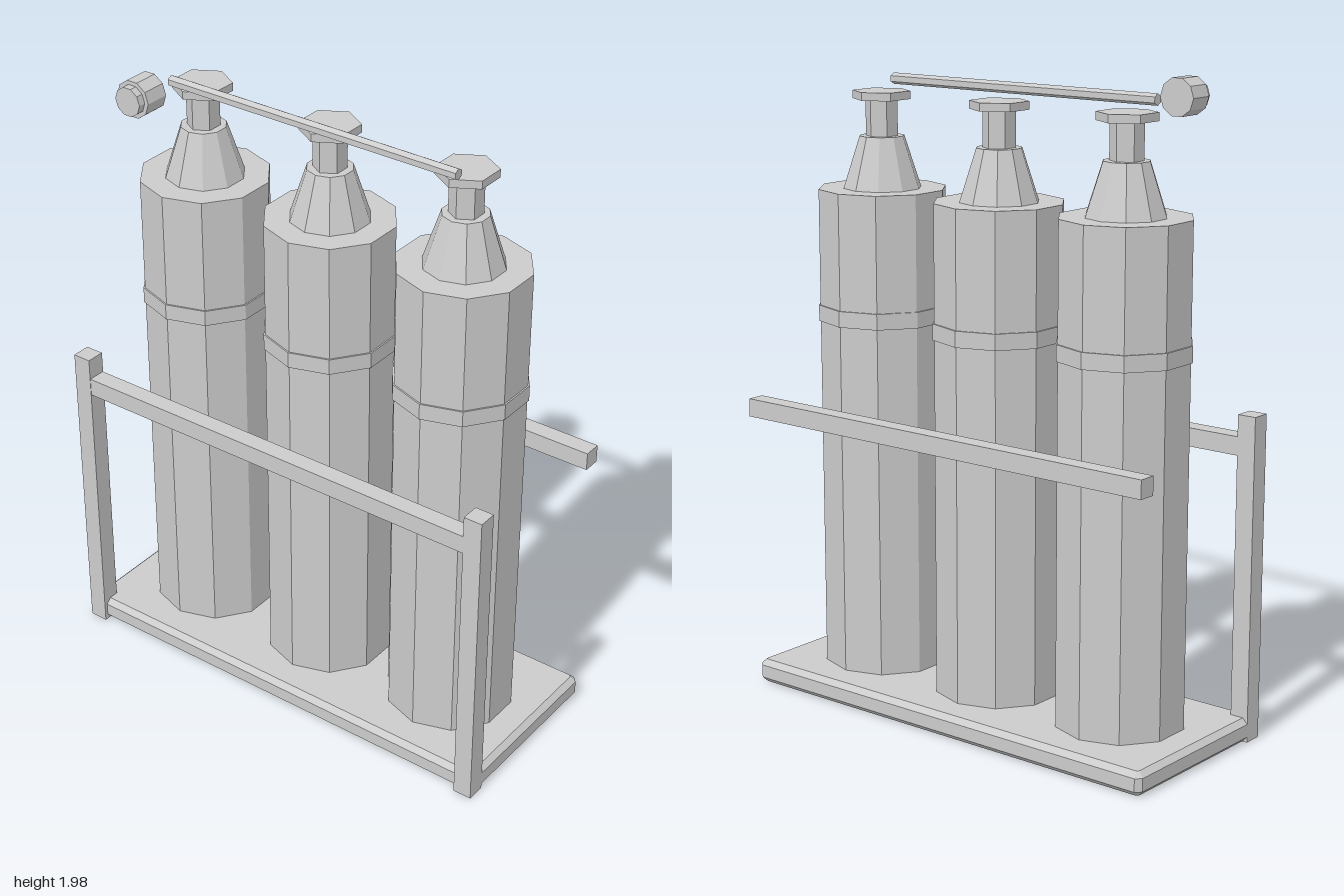
import * as THREE from 'three';

const material = new THREE.MeshStandardMaterial({ color: 0xcccccc, flatShading: true });

function add(parent, name, geometry, x = 0, y = 0, z = 0) {
  const mesh = new THREE.Mesh(geometry, material);
  mesh.name = name;
  mesh.position.set(x, y, z);
  parent.add(mesh);
  return mesh;
}

// faceted cylinder standing between two heights
function column(parent, name, rTop, rBottom, y0, y1, sides) {
  return add(parent, name, new THREE.CylinderGeometry(rTop, rBottom, y1 - y0, sides), 0, (y0 + y1) / 2, 0);
}

// flat slab with every edge chamfered
function chamferedSlab(w, h, d, c) {
  const x = w / 2, z = d / 2;
  const shape = new THREE.Shape([
    [x, z - c], [x - c, z], [c - x, z], [-x, z - c],
    [-x, c - z], [c - x, -z], [x - c, -z], [x, c - z],
  ].map(([a, b]) => new THREE.Vector2(a, b)));
  return new THREE.ExtrudeGeometry(shape, {
    depth: h - 2 * c, bevelThickness: c, bevelSize: c, bevelOffset: -c, bevelSegments: 1,
  }).translate(0, 0, c - h / 2).rotateX(-Math.PI / 2);
}

function createCylinder() {
  const bottle = new THREE.Group();
  bottle.name = 'gasCylinder';
  column(bottle, 'body', 0.2, 0.2, 0.1, 1.62, 10);
  column(bottle, 'band', 0.205, 0.205, 1.21, 1.26, 10);
  column(bottle, 'shoulder', 0.07, 0.122, 1.62, 1.78, 10);
  column(bottle, 'valveStem', 0.05, 0.05, 1.78, 1.893, 6);
  column(bottle, 'valveKnob', 0.09, 0.09, 1.892, 1.917, 6);
  return bottle;
}

export function createModel() {
  const model = new THREE.Group();
  model.name = 'gasCylinderRack';

  // rack: base, front posts, front and back rails
  const rack = new THREE.Group();
  rack.name = 'rack';
  model.add(rack);
  add(rack, 'basePlate', chamferedSlab(1.51, 0.075, 0.6, 0.017), 0, 0.0625, 0);
  for (const side of [1, -1]) {
    add(rack, side > 0 ? 'leftPost' : 'rightPost',
      new THREE.BoxGeometry(0.06, 1.005, 0.06), side * 0.725, 0.5275, 0.281);
  }
  add(rack, 'frontRail', new THREE.BoxGeometry(1.4, 0.057, 0.057), 0, 0.934, 0.281);
  add(rack, 'backRail', new THREE.BoxGeometry(1.51, 0.057, 0.057), 0, 0.934, -0.283);

  // three bottles in a row
  for (const x of [-0.465, 0, 0.465]) {
    const bottle = createCylinder();
    bottle.position.x = x;
    model.add(bottle);
  }

  // manifold pipe running across the valves
  const pipe = new THREE.CylinderGeometry(0.0175, 0.0175, 1, 6).rotateY(Math.PI / 2).rotateZ(Math.PI / 2);
  add(model, 'manifoldPipe', pipe, 0, 1.945, 0.097);

  // pressure gauge at the right end, dial facing forward
  const gauge = new THREE.Group();
  gauge.name = 'pressureGauge';
  gauge.position.set(-0.505, 1.945, 0);
  model.add(gauge);
  const disc = (r, d) => new THREE.CylinderGeometry(r, r, d, 10).rotateY(Math.PI / 2).rotateX(Math.PI / 2);
  add(gauge, 'gaugeCase', disc(0.058, 0.078), 0, 0, 0.222);
  add(gauge, 'gaugeDial', disc(0.045, 0.1), 0, 0, 0.234);

  return model;
}
